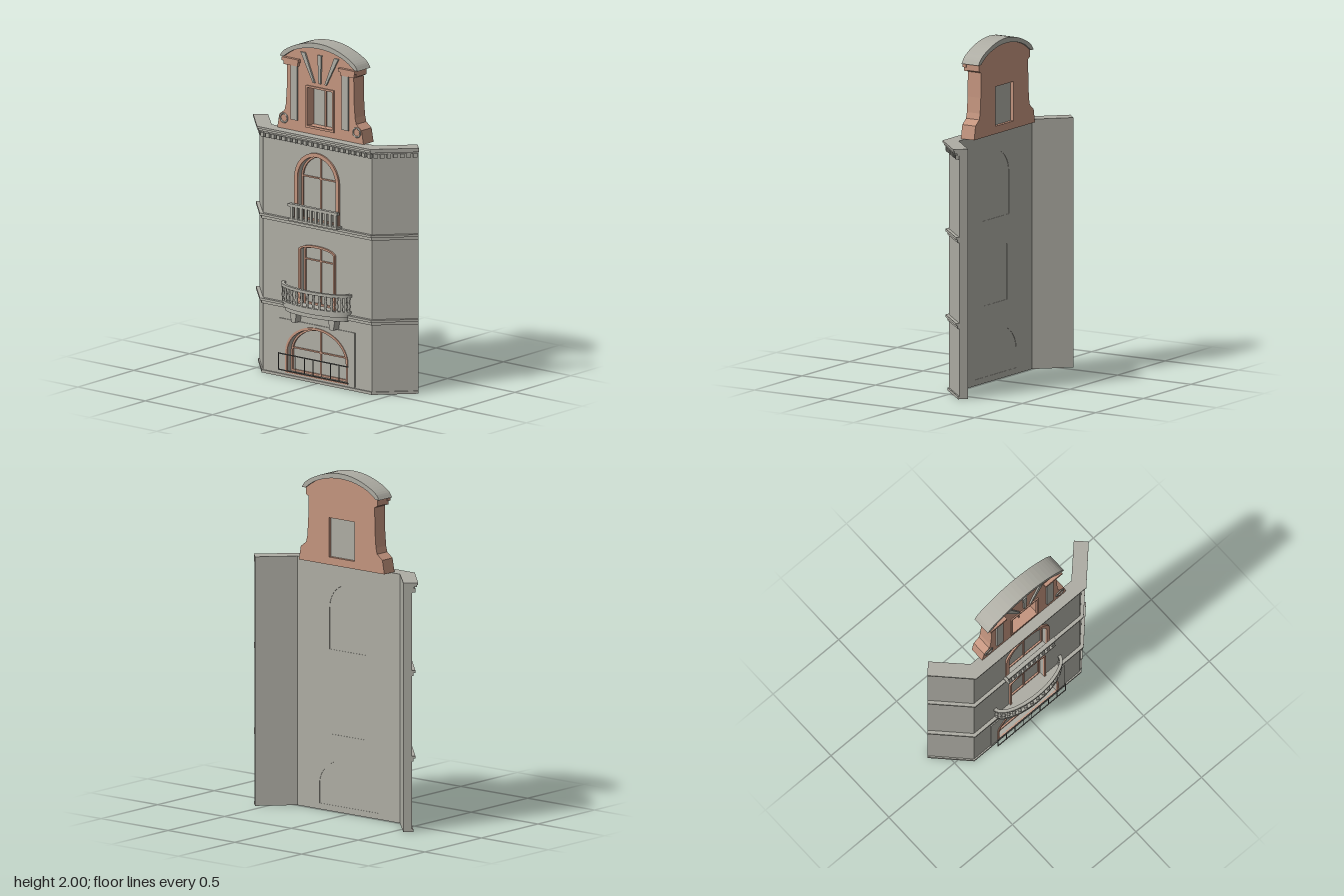
import * as THREE from 'three';

export function createModel() {
  const model = new THREE.Group();
  const mat = (name, color) => Object.assign(new THREE.MeshStandardMaterial({ color }), { name });
  const stone = mat('stone', 0xaeada4);
  const terracotta = mat('terracotta', 0xc4957f);
  const iron = mat('iron', 0x62625e);

  const add = (name, geo, material, parent = model) => {
    const m = new THREE.Mesh(geo, material);
    m.name = name;
    parent.add(m);
    return m;
  };
  // Box given by its limits on each axis
  const box = (name, material, x0, x1, y0, y1, z0, z1, parent) => {
    const m = add(name, new THREE.BoxGeometry(x1 - x0, y1 - y0, z1 - z0), material, parent);
    m.position.set((x0 + x1) / 2, (y0 + y1) / 2, (z0 + z1) / 2);
    return m;
  };
  const poly = pts => new THREE.Shape(pts.map(p => new THREE.Vector2(p[0], p[1])));
  // Shape in the front plane, extruded from z0 to z1
  const slab = (name, material, shape, z0, z1, parent) => add(name,
    new THREE.ExtrudeGeometry(shape, { depth: z1 - z0, bevelEnabled: false, curveSegments: 20 }).translate(0, 0, z0), material, parent);
  // Plan shape (x, -z), extruded from y0 to y1
  const storey = (name, material, shape, y0, y1, parent) => add(name,
    new THREE.ExtrudeGeometry(shape, { depth: y1 - y0, bevelEnabled: false, curveSegments: 24 }).rotateX(-Math.PI / 2).translate(0, y0, 0), material, parent);
  const arch = (w, y0, spring, top) => {
    const s = new THREE.Shape();
    s.moveTo(-w, y0);
    s.lineTo(w, y0);
    s.lineTo(w, spring);
    s.absellipse(0, spring, w, top - spring, 0, Math.PI, false);
    s.closePath();
    return s;
  };
  const cut = (shape, ...holes) => { shape.holes.push(...holes); return shape; };
  const rect = (x0, x1, y0, y1) => poly([[x0, y0], [x1, y0], [x1, y1], [x0, y1]]);

  // Window openings: half width, sill, spring, top, trim width, transom height
  const windows = [
    { name: 'groundWindow', w: 0.218, y0: 0.035, spring: 0.15, top: 0.312, trim: 0.014, bar: 0.174 },
    { name: 'middleWindow', w: 0.123, y0: 0.45, spring: 0.77, top: 0.797, trim: 0.013, bar: 0.713 },
    { name: 'upperWindow', w: 0.142, y0: 0.945, spring: 1.19, top: 1.334, trim: 0.023, bar: 1.2 },
  ];

  // Front wall with openings, and the two angled wings
  slab('frontWall', stone, cut(rect(-0.3835, 0.3835, 0, 1.43),
    ...windows.map(o => arch(o.w, o.y0, o.spring, o.top))), 0.008, 0.06);
  for (const s of [-1, 1]) {
    storey('wingWall', stone, poly([[0.3835, -0.06], [0.405, -0.06], [0.59, 0.13], [0.555, 0.165], [0.3835, -0.008]]
      .map(p => [s * p[0], p[1]])), 0, 1.43);
  }

  // Horizontal mouldings that follow the bent plan, projecting by d
  const band = (name, d, y0, y1) => {
    const half = [[0.405 + 0.414 * d, -0.06 - d], [0.59 + 0.707 * d, 0.13 - 0.707 * d], [0.555, 0.165], [0.3835, -0.008]];
    const mirror = half.map(p => [-p[0], p[1]]).reverse();
    storey(name, stone, poly([...half, ...mirror]), y0, y1);
  };
  band('plinth', 0.008, 0, 0.016);
  for (const y of [0.41, 0.91]) {
    band('stringCourse', 0.01, y, y + 0.018);
    band('stringCourseCap', 0.02, y + 0.018, y + 0.032);
  }
  band('corniceBed', 0.012, 1.418, 1.43);
  band('cornice', 0.028, 1.43, 1.443);
  band('corniceCap', 0.036, 1.443, 1.455);

  // Dentils under the cornice
  const dentils = new THREE.Group();
  dentils.name = 'dentils';
  model.add(dentils);
  const dentil = (x, z, turn) => {
    const m = add('dentil', new THREE.BoxGeometry(0.024, 0.024, 0.04), stone, dentils);
    m.position.set(x, 1.408, z);
    m.rotation.y = turn;
  };
  for (let i = -10; i <= 10; i++) dentil(i * 0.0395, 0.062, 0);
  for (const s of [-1, 1]) for (let i = 0; i < 7; i++) {
    const t = (i + 0.5) / 7;
    dentil(s * (0.405 + 0.185 * t), 0.06 - 0.19 * t, s * Math.PI / 4);
  }

  // Raised panel around the ground window
  slab('groundPanel', stone, cut(rect(-0.28, 0.28, 0.02, 0.343), arch(0.218, 0.035, 0.15, 0.312)), 0.06, 0.066);

  // Trim, recessed frame, pane and glazing bars of each window
  for (const o of windows) {
    const g = new THREE.Group();
    g.name = o.name;
    model.add(g);
    const { w, y0, spring, top, trim } = o, f = 0.011;
    slab('trim', terracotta, cut(arch(w + trim, y0 - 0.006, spring, top + trim), arch(w, y0, spring, top)), 0.058, 0.071, g);
    slab('frame', terracotta, cut(arch(w, y0, spring, top), arch(w - f, y0 + f, spring, top - f)), 0.02, 0.034, g);
    slab('pane', stone, arch(w, y0, spring, top), 0.010, 0.024, g);
    box('mullion', terracotta, -0.004, 0.004, y0, top - 0.004, 0.02, 0.032, g);
    box('transom', terracotta, -w + 0.004, w - 0.004, o.bar - 0.004, o.bar + 0.004, 0.02, 0.032, g);
  }

  // Iron railing before the ground window
  const railing = new THREE.Group();
  railing.name = 'groundRailing';
  model.add(railing);
  for (const y of [0.05, 0.146]) box('rail', iron, -0.26, 0.26, y - 0.003, y + 0.003, 0.098, 0.103, railing);
  for (let i = -4; i <= 4; i++) box('bar', iron, i * 0.0643 - 0.002, i * 0.0643 + 0.002, 0.05, 0.146, 0.099, 0.102, railing);

  // Curved middle balcony
  const balcony = new THREE.Group();
  balcony.name = 'curvedBalcony';
  model.add(balcony);
  const bow = (a, b) => {
    const s = new THREE.Shape();
    s.moveTo(-a, -0.06);
    s.absellipse(0, -0.06, a, b, Math.PI, Math.PI * 2, false);
    s.closePath();
    return s;
  };
  const bowRing = (a, b, t) => {
    const s = new THREE.Shape();
    s.absellipse(0, -0.06, a, b, Math.PI, Math.PI * 2, false);
    s.absellipse(0, -0.06, a - t, b - t, Math.PI * 2, Math.PI, true);
    s.closePath();
    return s;
  };
  storey('lowerSlab', stone, bow(0.232, 0.085), 0.405, 0.43, balcony);
  storey('upperSlab', stone, bow(0.245, 0.097), 0.43, 0.452, balcony);
  storey('footRail', stone, bowRing(0.25, 0.1, 0.02), 0.452, 0.465, balcony);
  storey('handRail', stone, bowRing(0.255, 0.105, 0.02), 0.548, 0.565, balcony);
  const turned = [[0.009, 0], [0.006, 0.012], [0.011, 0.03], [0.006, 0.052], [0.009, 0.07], [0.009, 0.084]]
    .map(p => new THREE.Vector2(p[0], p[1]));
  const baluster = new THREE.LatheGeometry(turned, 10);
  for (let i = 0; i < 17; i++) {
    const a = Math.PI * (0.04 + 0.92 * i / 16);
    add('baluster', baluster, stone, balcony).position.set(0.243 * Math.cos(a), 0.464, 0.06 + 0.093 * Math.sin(a));
  }
  // Tapered corbels under the balcony
  for (const s of [-1, 1]) {
    slab('corbel', stone, poly([[-0.026, 0.41], [-0.014, 0.345], [0.014, 0.345], [0.026, 0.41]]
      .map(p => [p[0] + s * 0.142, p[1]])), 0.06, 0.108, balcony);
  }

  // Straight upper balcony
  const upper = new THREE.Group();
  upper.name = 'upperBalcony';
  model.add(upper);
  box('footRail', stone, -0.18, 0.18, 0.942, 0.955, 0.06, 0.106, upper);
  box('handRail', stone, -0.182, 0.182, 1.025, 1.042, 0.084, 0.108, upper);
  for (let i = 0; i < 10; i++) {
    const x = -0.162 + i * 0.036;
    box('baluster', stone, x - 0.009, x + 0.009, 0.955, 1.025, 0.09, 0.102, upper);
  }

  // Roof gable with curved shoulders and a window opening
  const gable = new THREE.Group();
  gable.name = 'gable';
  model.add(gable);
  const side = [[0.32, 1.455], [0.305, 1.535], [0.266, 1.565], [0.257, 1.6], [0.25, 1.69], [0.247, 1.835],
    [0.267, 1.845], [0.267, 1.9], [0.2, 1.945], [0.1, 1.968]];
  const outline = [...side, [0, 1.975], ...side.map(p => [-p[0], p[1]]).reverse()];
  slab('gableWall', terracotta, cut(poly(outline), rect(-0.095, 0.095, 1.5, 1.73)), -0.055, 0.035, gable);

  // Gable window
  slab('gableWindowTrim', terracotta, cut(rect(-0.104, 0.104, 1.49, 1.739), rect(-0.092, 0.092, 1.503, 1.727)), 0.03, 0.042, gable);
  box('gablePane', stone, -0.095, 0.095, 1.5, 1.73, -0.035, -0.02, gable);
  box('gableMullion', terracotta, -0.004, 0.004, 1.5, 1.73, -0.02, -0.008, gable);

  // Curved hood
  const arc = (pts) => new THREE.CatmullRomCurve3([...pts, ...pts.slice(0, -1).reverse().map(p => [-p[0], p[1]])]
    .map(p => new THREE.Vector3(p[0], p[1], 0))).getPoints(28).map(p => [p.x, p.y]);
  const over = arc([[0.29, 1.885], [0.265, 1.917], [0.2, 1.955], [0.1, 1.989], [0, 2]]);
  const under = arc([[0.262, 1.885], [0.24, 1.902], [0.19, 1.932], [0.1, 1.96], [0, 1.97]]);
  slab('hood', stone, poly([...over, ...under.reverse()]), -0.065, 0.05, gable);

  // Fan of three tapered rays
  const rays = [[-0.14, -0.108, -0.037, -0.05], [-0.014, 0.014, 0.007, -0.007], [0.108, 0.14, 0.05, 0.037]];
  for (const r of rays) slab('ray', stone, poly([[r[0], 1.93], [r[1], 1.93], [r[2], 1.762], [r[3], 1.762]]), 0.03, 0.045, gable);

  // Pilasters, capitals and side rosettes
  for (const s of [-1, 1]) {
    const cx = s * 0.19;
    box('pilaster', stone, cx - 0.024, cx + 0.024, 1.52, 1.84, 0.03, 0.046, gable);
    const x = s * 0.21;
    box('capital', terracotta, x - 0.053, x + 0.053, 1.84, 1.862, 0.03, 0.05, gable);
    box('capitalTop', terracotta, x - 0.062, x + 0.062, 1.862, 1.882, 0.03, 0.056, gable);
    add('rosetteRing', new THREE.TorusGeometry(0.026, 0.005, 8, 24), stone, gable).position.set(s * 0.27, 1.518, 0.036);
  }
  return model;
}
